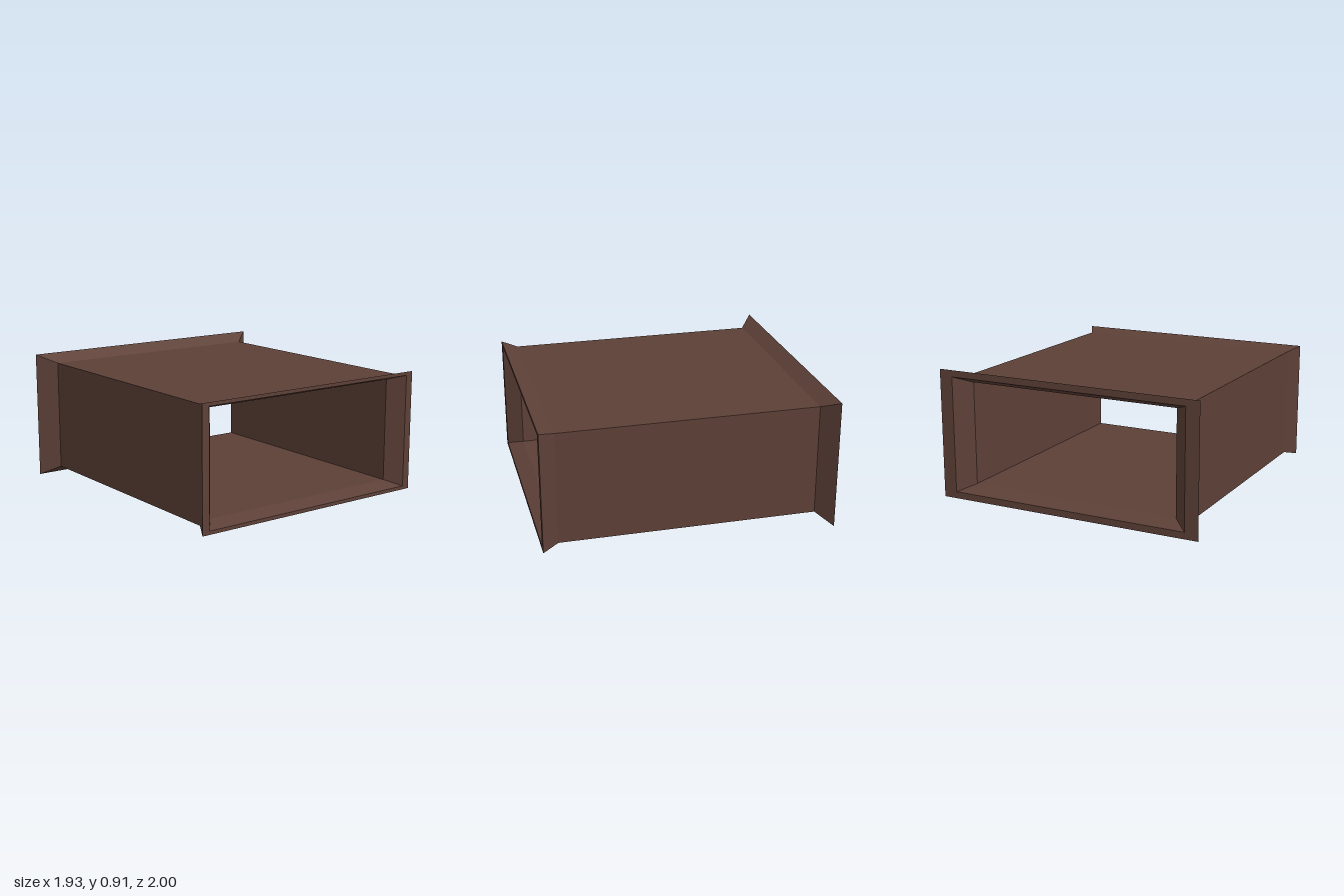
import * as THREE from 'three';

const CENTER_Y = 0.457;

// Rectangular cross-sections: [half width, half height, z]
const outerFront = [0.9, 0.423, 1];
const outerFrontNeck = [0.84, 0.393, 0.89];
const outerBackNeck = [0.84, 0.393, -0.9];
const outerBack = [0.965, 0.455, -1];
const innerBack = [0.868, 0.408, -1];
const innerBackNeck = [0.762, 0.362, -0.9];
const innerFrontNeck = [0.762, 0.362, 0.89];
const innerFront = [0.846, 0.398, 1];

// Corners of a section, counter-clockwise seen from the front
const corners = ([w, h, z]) =>
  [[1, 1], [-1, 1], [-1, -1], [1, -1]].map(([sx, sy]) => [sx * w, CENTER_Y + sy * h, z]);

// Flat-sided band joining each section to the next
function band(...sections) {
  const positions = [];
  for (let i = 0; i < sections.length - 1; i++) {
    const a = corners(sections[i]);
    const b = corners(sections[i + 1]);
    for (let k = 0; k < 4; k++) {
      const n = (k + 1) % 4;
      for (const p of [a[k], b[k], b[n], a[k], b[n], a[n]]) positions.push(...p);
    }
  }
  const geometry = new THREE.BufferGeometry();
  geometry.setAttribute('position', new THREE.Float32BufferAttribute(positions, 3));
  geometry.computeVertexNormals();
  return geometry;
}

export function createModel() {
  const group = new THREE.Group();
  group.name = 'flaredDuct';
  const brown = new THREE.MeshStandardMaterial({ name: 'darkBrown', color: 0x5d4037 });

  const add = (name, geometry) => {
    const mesh = new THREE.Mesh(geometry, brown);
    mesh.name = name;
    group.add(mesh);
  };

  // Straight walls, outside and inside
  add('outerWalls', band(outerFrontNeck, outerBackNeck));
  add('innerWalls', band(innerBackNeck, innerFrontNeck));

  // Flared collars with flat rims at each end
  add('frontCollar', band(innerFrontNeck, innerFront, outerFront, outerFrontNeck));
  add('backCollar', band(outerBackNeck, outerBack, innerBack, innerBackNeck));

  return group;
}
